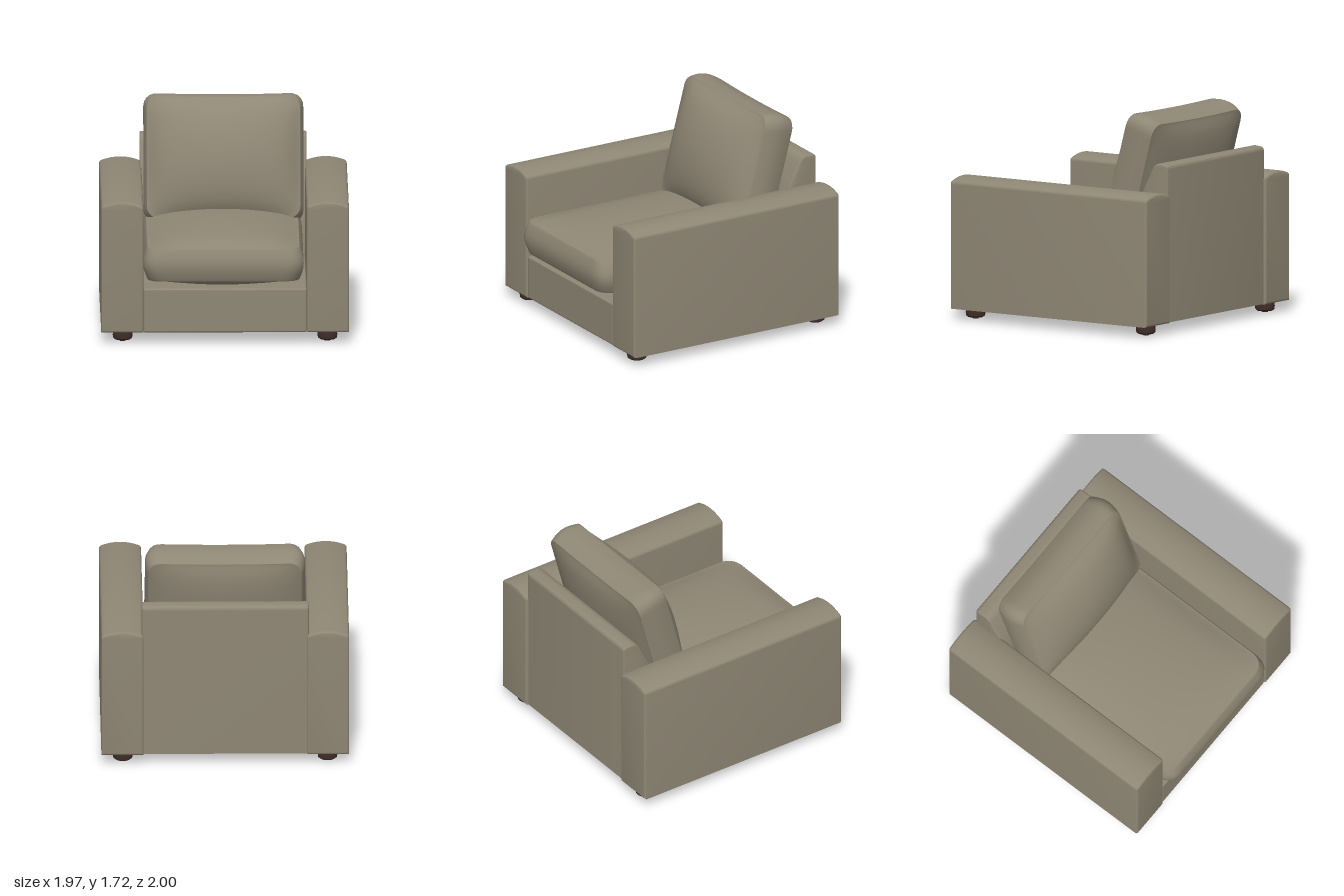
import * as THREE from 'three';
import { toCreasedNormals } from 'three/addons/utils/BufferGeometryUtils.js';
import { RoundedBoxGeometry } from 'three/addons/geometries/RoundedBoxGeometry.js';

// Extrusion with rounded edges, centred on its depth; the bevel stays inside the outline
function softExtrude(shape, depth, bevel) {
  const g = new THREE.ExtrudeGeometry(shape, {
    depth: depth - 2 * bevel, bevelSize: bevel, bevelThickness: bevel,
    bevelOffset: -bevel, bevelSegments: 4, curveSegments: 16,
  });
  g.translate(0, 0, -depth / 2 + bevel);
  return toCreasedNormals(g, 0.6);
}

// Box cushion lying flat: crowned top and bottom panels joined by a bulging side band
function cushionGeometry({ hw, hd, radius, thick, top, bottom, bulge, sag, powX, powZ }) {
  const N = 120, M = 16, K = 10;
  const s = new THREE.Shape();
  s.absarc(hw - radius, hd - radius, radius, 0, Math.PI / 2);
  s.absarc(radius - hw, hd - radius, radius, Math.PI / 2, Math.PI);
  s.absarc(radius - hw, radius - hd, radius, Math.PI, Math.PI * 1.5);
  s.absarc(hw - radius, radius - hd, radius, Math.PI * 1.5, Math.PI * 2);
  s.closePath();
  const outline = s.getSpacedPoints(N).slice(0, N);

  const pos = [], index = [];
  const ring = (scale, out, yBase, crown) => {
    for (const p of outline) {
      const u = Math.min(1, Math.abs(p.x * scale / hw));
      const v = Math.min(1, Math.abs(p.y * scale / hd));
      const puff = (1 - u * u) ** powX * (1 - v * v) ** powZ * (1 - scale ** 12);
      pos.push(p.x * (scale + out / hw), yBase + crown * puff,
        p.y * (scale + out / hd) * (1 - sag * (1 - u * u)));
    }
  };
  for (let i = 0; i <= M; i++) ring(Math.sin(i / M * Math.PI / 2), 0, thick / 2, top);
  for (let j = 1; j < K; j++) ring(1, bulge * Math.sin(j / K * Math.PI), thick * (0.5 - j / K), 0);
  for (let i = M; i >= 0; i--) ring(Math.sin(i / M * Math.PI / 2), 0, -thick / 2, -bottom);

  const rows = pos.length / 3 / N;
  for (let i = 0; i < rows - 1; i++) {
    for (let k = 0; k < N; k++) {
      const n = (k + 1) % N;
      const a = i * N + k, c = i * N + n, b = a + N, d = c + N;
      index.push(a, c, b, b, c, d);
    }
  }
  const g = new THREE.BufferGeometry();
  g.setAttribute('position', new THREE.Float32BufferAttribute(pos, 3));
  g.setIndex(index);
  g.computeVertexNormals();
  return g;
}

export function createModel() {
  const model = new THREE.Group();
  model.name = 'armchair';
  const fabric = new THREE.MeshStandardMaterial({ color: 0x8f8775 });
  fabric.name = 'taupe fabric';
  const wood = new THREE.MeshStandardMaterial({ color: 0x3f2d28 });
  wood.name = 'dark wood';

  const add = (name, geometry, material, x, y, z) => {
    const mesh = new THREE.Mesh(geometry, material);
    mesh.name = name;
    mesh.position.set(x, y, z);
    model.add(mesh);
    return mesh;
  };

  // Arms with a gently crowned top
  const arm = new THREE.Shape();
  arm.moveTo(-0.168, 0.085);
  arm.lineTo(0.168, 0.085);
  arm.lineTo(0.168, 1.085);
  arm.quadraticCurveTo(0.168, 1.108, 0.145, 1.116);
  arm.quadraticCurveTo(0, 1.17, -0.145, 1.116);
  arm.quadraticCurveTo(-0.168, 1.108, -0.168, 1.085);
  arm.closePath();
  const armGeometry = softExtrude(arm, 1.92, 0.02);
  add('leftArm', armGeometry, fabric, 0.818, 0, -0.04);
  add('rightArm', armGeometry, fabric, -0.818, 0, -0.04);

  // Seat base
  add('seatBase', new RoundedBoxGeometry(1.3, 0.355, 1.86, 4, 0.015), fabric, 0, 0.2625, -0.02);

  // Back frame: side profile (z, y) swept across the width
  const back = new THREE.Shape();
  back.moveTo(-0.98, 0.09);
  back.lineTo(-0.64, 0.09);
  back.lineTo(-0.64, 0.8);
  back.lineTo(-0.735, 1.13);
  back.lineTo(-0.825, 1.31);
  back.quadraticCurveTo(-0.85, 1.36, -0.9, 1.36);
  back.lineTo(-0.95, 1.355);
  back.quadraticCurveTo(-0.98, 1.35, -0.98, 1.32);
  back.closePath();
  const backGeometry = softExtrude(back, 1.33, 0.015);
  backGeometry.rotateY(-Math.PI / 2);
  add('backFrame', backGeometry, fabric, 0, 0, 0);

  // Seat cushion
  add('seatCushion', cushionGeometry({
    hw: 0.607, hd: 0.815, radius: 0.12, thick: 0.26, top: 0.1, bottom: 0.1,
    bulge: 0.032, sag: 0, powX: 0.8, powZ: 0.5,
  }), fabric, -0.013, 0.64, 0.15);

  // Back cushion, leaning on the frame
  const backCushion = add('backCushion', cushionGeometry({
    hw: 0.612, hd: 0.495, radius: 0.1, thick: 0.26, top: 0.16, bottom: 0.08,
    bulge: 0.025, sag: 0.025, powX: 0.6, powZ: 0.7,
  }), fabric, 0, 1.213, -0.555);
  backCushion.rotation.x = Math.PI / 2 - 0.262;

  // Turned feet with a small glide underneath
  const profile = [[0, 0], [0.025, 0], [0.025, 0.01], [0.06, 0.012], [0.076, 0.024],
    [0.079, 0.05], [0.076, 0.07], [0.07, 0.095]].map(([r, y]) => new THREE.Vector2(r, y));
  const footGeometry = toCreasedNormals(new THREE.LatheGeometry(profile, 28), 0.7);
  for (const [side, x] of [['Left', 0.815], ['Right', -0.815]]) {
    add('front' + side + 'Foot', footGeometry, wood, x, 0, 0.79);
    add('back' + side + 'Foot', footGeometry, wood, x, 0, -0.875);
  }

  return model;
}
